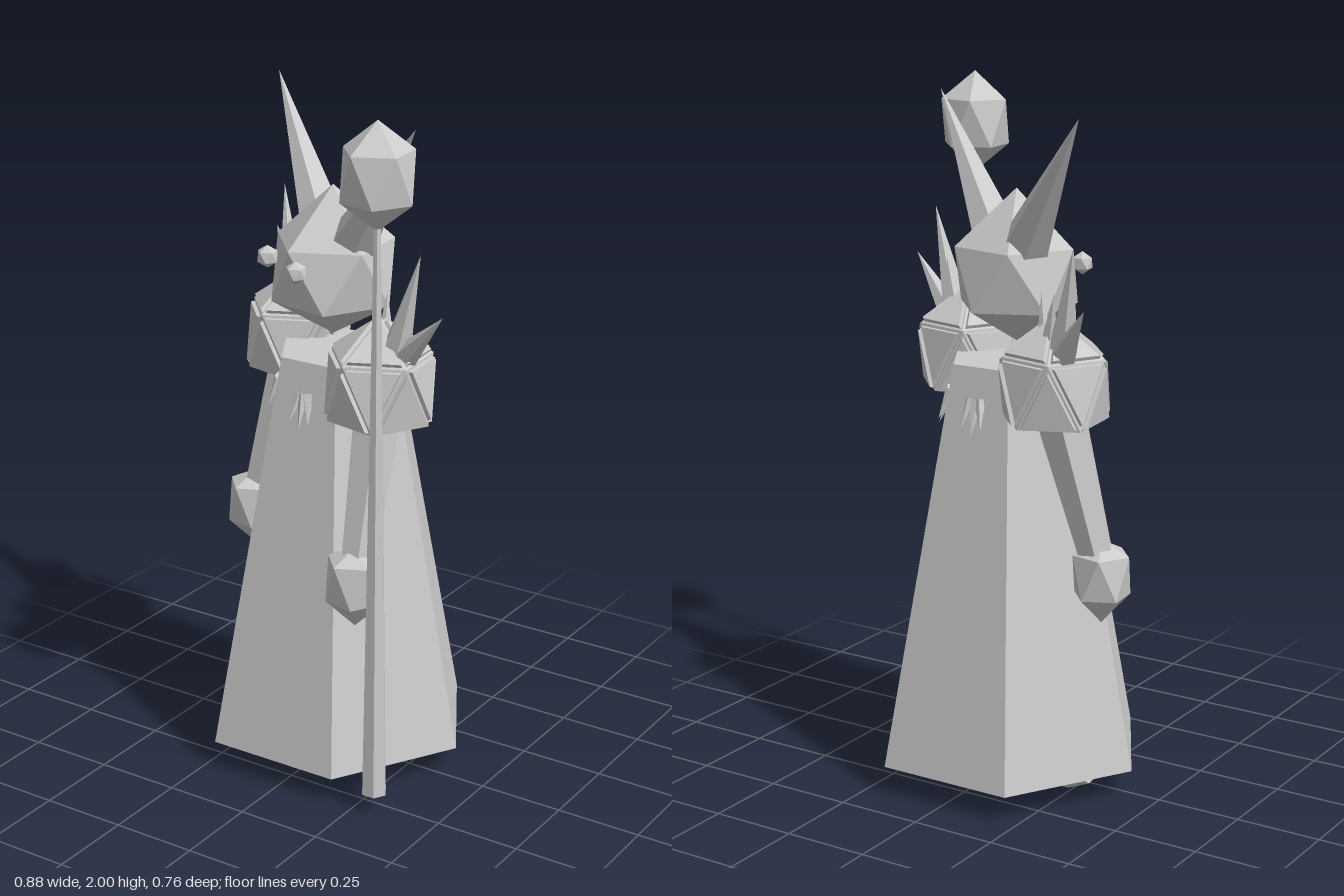
import * as THREE from 'three';
import { ConvexGeometry } from 'three/addons/geometries/ConvexGeometry.js';
import { mergeGeometries } from 'three/addons/utils/BufferGeometryUtils.js';

const material = new THREE.MeshStandardMaterial({ color: 0xcccccc, flatShading: true });
const V = (x, y, z) => new THREE.Vector3(x, y, z);

function add(parent, name, geometry) {
  const mesh = new THREE.Mesh(geometry, material);
  mesh.name = name;
  parent.add(mesh);
  return mesh;
}

// Icosahedron with its own ring radius and heights; leave out bottom for a flat underside
function gem(radius, top, upper, lower, bottom) {
  const points = [V(0, top, 0)];
  if (bottom !== undefined) points.push(V(0, bottom, 0));
  for (let i = 0; i < 5; i++) {
    const a = (i * Math.PI * 2) / 5, b = a + Math.PI / 5;
    points.push(V(radius * Math.cos(a), upper, radius * Math.sin(a)));
    points.push(V(radius * Math.cos(b), lower, radius * Math.sin(b)));
  }
  return new ConvexGeometry(points);
}

// Tapered prism running from one point to another
function limb(from, to, r0, r1, sides = 6) {
  const dir = to.clone().sub(from);
  const g = new THREE.CylinderGeometry(r1, r0, dir.length(), sides);
  g.applyQuaternion(new THREE.Quaternion().setFromUnitVectors(V(0, 1, 0), dir.normalize()));
  const mid = from.clone().add(to).multiplyScalar(0.5);
  return g.translate(mid.x, mid.y, mid.z);
}

// Shoulder pad: faceted core with a raised plate on each face
function padGeometry() {
  const core = gem(0.148, 0.15, 0.045, -0.14);
  const p = core.getAttribute('position');
  const parts = [core];
  for (let i = 0; i < p.count; i += 3) {
    const t = [0, 1, 2].map((k) => new THREE.Vector3().fromBufferAttribute(p, i + k));
    const tri = new THREE.Triangle(...t);
    const n = tri.getNormal(V(0, 0, 0)), c = tri.getMidpoint(V(0, 0, 0));
    if (n.y < -0.95) continue;
    const ring = (s, h) => t.map((v) => v.clone().lerp(c, s).addScaledVector(n, h));
    parts.push(new ConvexGeometry([...ring(0.1, -0.008), ...ring(0.17, 0.011)]));
  }
  return mergeGeometries(parts);
}

export function createModel() {
  const model = new THREE.Group();
  model.name = 'hornedStaffBearer';
  const body = new THREE.Group();
  body.name = 'body';
  body.position.set(-0.015, 0, -0.027);
  body.rotation.y = -Math.PI / 6;
  model.add(body);

  // Robe and head
  add(body, 'robe', new THREE.CylinderGeometry(0.18, 0.408, 1.16, 6)).position.y = 0.66;
  add(body, 'head', gem(0.175, 1.72, 1.56, 1.39, 1.288)).position.z = 0.018;

  // Staff with its orb
  add(body, 'staff', limb(V(0.431, 0.055, 0.107), V(0.431, 1.74, 0.107), 0.038, 0.01));
  add(body, 'staffOrb', gem(0.1, 2, 1.92, 1.785, 1.705)).position.set(0.431, 0, 0.107);

  // Shoulder spikes: base, tip, base radius
  const spikes = [
    [V(0.33, 1.3, -0.02), V(0.506, 1.468, -0.05), 0.042],
    [V(0.32, 1.31, -0.01), V(0.414, 1.618, -0.032), 0.046],
    [V(0.28, 1.33, -0.03), V(0.325, 1.48, -0.04), 0.028],
    [V(0.24, 1.34, -0.02), V(0.235, 1.47, -0.03), 0.025],
  ];

  for (const s of [1, -1]) {
    const side = s > 0 ? 'left' : 'right';
    const m = (v) => V(v.x * s, v.y, v.z);

    add(body, side + 'Eye', gem(0.029, 0.033, 0.015, -0.015, -0.033)).position.set(0.09 * s, 1.51, 0.178);
    add(body, side + 'Horn', limb(m(V(0.1, 1.585, 0)), m(V(0.41, 1.957, -0.015)), 0.07, 0));
    add(body, side + 'ShoulderPad', padGeometry()).position.set(0.254 * s, 1.253, 0.002);
    for (const [a, b, r] of spikes) add(body, side + 'ShoulderSpike', limb(m(a), m(b), r, 0));

    add(body, side + 'Arm', limb(m(V(0.258, 1.2, 0.0)), m(V(0.322, 0.69, 0.11)), 0.08, 0.05));
    add(body, side + 'Hand', gem(0.083, 0.775, 0.735, 0.615, 0.535)).position.set(0.325 * s, 0, 0.115);
    add(body, side + 'Foot', gem(0.122, 0.17, 0.11, 0.06, 0)).position.set(0.211 * s, 0, 0.077);

    // Small tufts lying on the chest and back
    for (const f of [1, -1]) {
      for (let i = -1; i <= 1; i++) {
        const from = V((0.076 + i * 0.012) * s, 1.15, (0.148 - i * 0.007) * f);
        const to = V((0.098 + i * 0.028) * s, 1.05 + Math.abs(i) * 0.02, (0.178 - i * 0.016) * f);
        add(body, side + 'Tuft', limb(from, to, 0.018, 0, 5));
      }
    }
  }
  return model;
}
